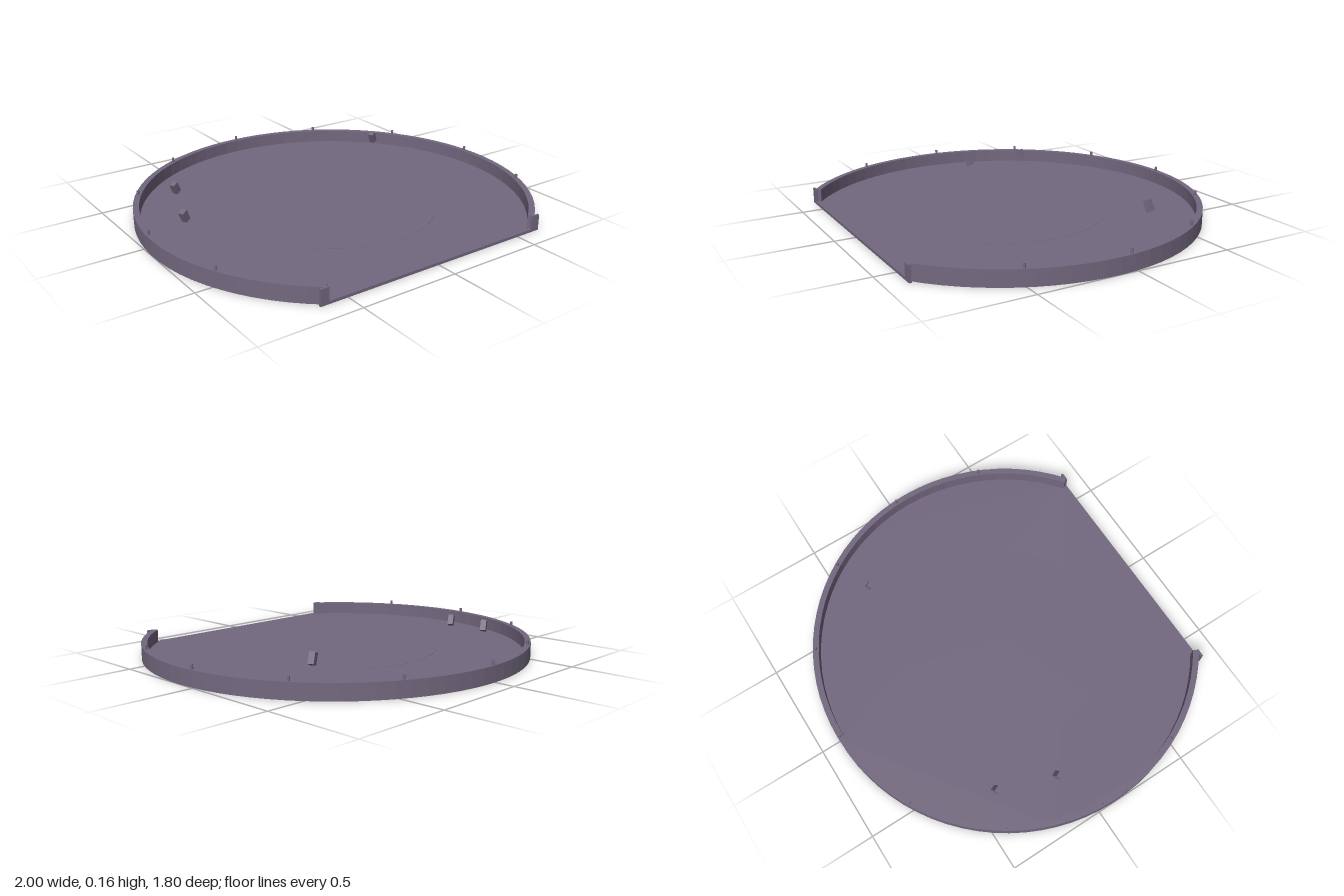
import * as THREE from 'three';

const CENTRE_Z = 0.1;               // centre of the round tray
const GAP = 0.65;                   // half-angle of the front opening
const START = -Math.PI / 2 + GAP;
const END = 1.5 * Math.PI - GAP;
const SEGMENTS = 64;

// Points along the arc, in plan (shape y is -z)
function arc(radius) {
  const points = [];
  for (let i = 0; i <= SEGMENTS; i++) {
    const a = START + (END - START) * i / SEGMENTS;
    points.push(new THREE.Vector2(radius * Math.cos(a), radius * Math.sin(a) - CENTRE_Z));
  }
  return points;
}

// Plan outline raised to a height
function slab(points, height) {
  const geometry = new THREE.ExtrudeGeometry(new THREE.Shape(points), { depth: height, bevelEnabled: false });
  return geometry.rotateX(-Math.PI / 2);
}

export function createModel() {
  const model = new THREE.Group();
  const stone = new THREE.MeshStandardMaterial({ color: 0x73687f, flatShading: true });
  stone.name = 'mauve stone';

  function add(name, geometry, x = 0, y = 0, z = 0) {
    const mesh = new THREE.Mesh(geometry, stone);
    mesh.name = name;
    mesh.position.set(x, y, z);
    model.add(mesh);
    return mesh;
  }

  // Floor with a straight front edge and a barely raised inner disc
  add('floor', slab(arc(0.999), 0.014));
  add('innerDisc', new THREE.CylinderGeometry(0.52, 0.52, 0.013, 64), 0, 0.0085, CENTRE_Z);
  add('frontSill', new THREE.BoxGeometry(1.28, 0.014, 0.012), 0, 0.007, 0.891);

  // Rim wall, open at the front
  add('rimWall', slab([...arc(1), ...arc(0.97).reverse()], 0.08));

  // Thin posts closing the wall ends
  for (const side of [-1, 1]) {
    add('endPost', new THREE.BoxGeometry(0.042, 0.08, 0.012), side * 0.618, 0.04, 0.891);
  }

  // Small studs on top of the rim
  for (let i = -4; i <= 4; i++) {
    const a = i * 0.498;
    add('rimStud', new THREE.CylinderGeometry(0.007, 0.007, 0.024, 8),
      0.985 * Math.sin(a), 0.09, CENTRE_Z - 0.985 * Math.cos(a));
  }

  // Tilted loose blocks hovering over the floor
  for (const [x, y, z] of [[-0.65, 0.097, -0.375], [-0.75, 0.075, -0.08], [0.61, 0.126, -0.355]]) {
    const block = add('looseBlock', new THREE.BoxGeometry(0.032, 0.057, 0.03), x, y, z);
    block.rotation.set(0, 0.42, 0.42);
  }

  return model;
}
